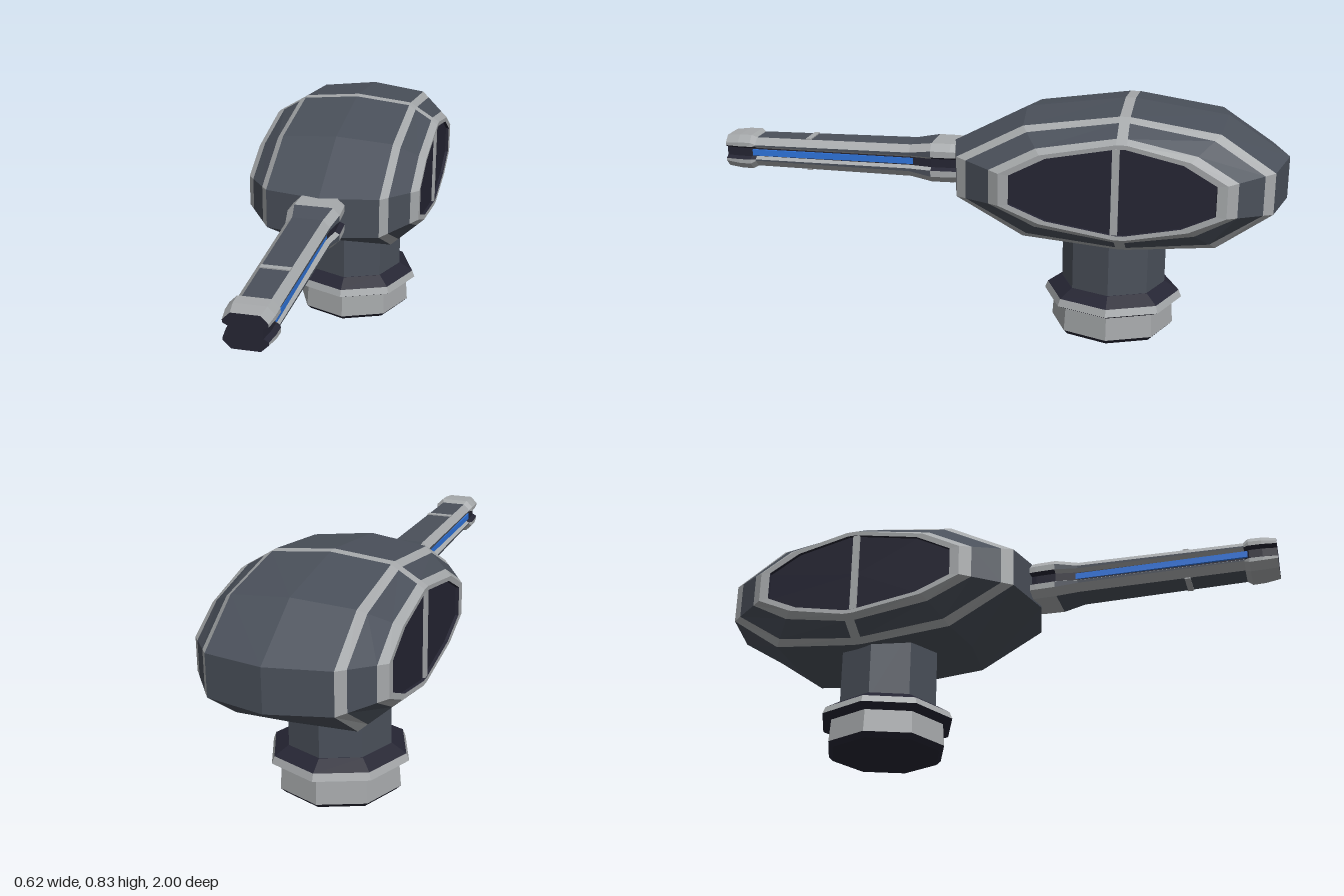
import * as THREE from 'three';

const mat = (name, color) => Object.assign(new THREE.MeshStandardMaterial({ color }), { name });

// Flat-shaded skin over closed rings; pick(i, j) gives the material index of each quad
function loft(name, rings, pick, mats, caps = [null, null]) {
  const buckets = mats.map(() => []);
  const tri = (m, ...pts) => pts.forEach(p => buckets[m].push(...p));
  const n = rings[0].length;
  for (let i = 0; i < rings.length - 1; i++) {
    for (let j = 0; j < n; j++) {
      const k = (j + 1) % n, m = pick(i, j);
      const [a, b, c, d] = [rings[i][j], rings[i][k], rings[i + 1][k], rings[i + 1][j]];
      tri(m, a, b, c);
      tri(m, a, c, d);
    }
  }
  [rings[0], rings[rings.length - 1]].forEach((ring, e) => {
    if (caps[e] === null) return;
    const mid = [0, 1, 2].map(q => ring.reduce((s, p) => s + p[q], 0) / n);
    ring.forEach((p, j) => {
      const r = ring[(j + 1) % n];
      e ? tri(caps[e], mid, p, r) : tri(caps[e], mid, r, p);
    });
  });
  const geo = new THREE.BufferGeometry();
  let start = 0;
  buckets.forEach((b, m) => {
    if (b.length) geo.addGroup(start, b.length / 3, m);
    start += b.length / 3;
  });
  geo.setAttribute('position', new THREE.Float32BufferAttribute(buckets.flat(), 3));
  geo.computeVertexNormals();
  const mesh = new THREE.Mesh(geo, mats);
  mesh.name = name;
  return mesh;
}

export function createModel() {
  const root = new THREE.Group();
  root.name = 'turret';
  const slate = mat('slate plating', 0x4a505a);
  const silver = mat('silver trim', 0xa6a9ab);
  const navy = mat('dark navy', 0x252533);
  const blue = mat('blue glow', 0x2f74dc);
  const mats = [slate, silver, navy];
  const SLATE = 0, SILVER = 1, NAVY = 2;

  const box = (parent, name, m, size, pos) => {
    const mesh = new THREE.Mesh(new THREE.BoxGeometry(...size), m);
    mesh.name = name;
    mesh.position.set(...pos);
    parent.add(mesh);
  };

  // Head: zFront, zBack, shoulder zs, then heights top to bottom
  const centre = [0.16, -1.0, -0.1, -0.79, 0.83, 0.785, 0.65, 0.505, 0.385, 0.36];
  const shoulder = [0.11, -0.95, -0.12, -0.77, 0.81, 0.765, 0.645, 0.505, 0.378, 0.35];
  const side = [-0.055, -0.8, -0.19, -0.68, 0.742, 0.695, 0.625, 0.515, 0.46, 0.42];
  const mix = (a, b, t) => a.map((v, i) => v + (b[i] - v) * t);
  const ridge = [-0.44, -0.475];
  const headRing = (x, [zf, zb, sf, sb, top, st, f, fl, sl, bot], s = 1) => [
    [top, ridge[0]], [st, sf], [f, zf], [fl, zf], [sl, sf], [bot, ridge[0]],
    [bot, ridge[1]], [sl, sb], [fl, zb], [f, zb], [st, sb], [top, ridge[1]],
  ].map(([y, z]) => [x, 0.58 + (y - 0.58) * s, -0.43 + (z + 0.43) * s]);
  const half = [
    [0.2, shoulder], [0.225, mix(shoulder, side, 0.227)],
    [0.285, mix(shoulder, side, 0.773)], [0.31, side],
    [0.309, side, 0.91], [0.298, side, 0.905],
  ];
  const headRings = [
    ...half.map(([x, p, s]) => headRing(-x, p, s)).reverse(),
    headRing(0, centre),
    ...half.map(([x, p, s]) => headRing(x, p, s)),
  ];
  // Bands counted outward from the centre: plate, trim, plate, frame, frame, recess
  const bands = [SLATE, SILVER, SLATE, SILVER, SILVER, NAVY];
  root.add(loft('head', headRings, (i, j) => {
    const band = i < 6 ? 5 - i : i - 6;
    const onRidge = j === 11 || (j === 5 && band > 0);
    return onRidge && band < 5 ? SILVER : bands[band];
  }, mats, [NAVY, NAVY]));

  // Window dividers
  for (const s of [-1, 1]) {
    box(root, 'windowDivider', silver, [0.009, 0.29, 0.024], [s * 0.303, 0.581, -0.44]);
  }

  // Pedestal: eight-sided stacked rings
  const pedestal = new THREE.Group();
  pedestal.name = 'pedestal';
  pedestal.position.z = -0.415;
  root.add(pedestal);
  const turned = (name, m, y0, y1, r0, r1) => {
    const geo = new THREE.CylinderGeometry(r1, r0, y1 - y0, 8).toNonIndexed();
    geo.computeVertexNormals();
    const mesh = new THREE.Mesh(geo, m);
    mesh.name = name;
    mesh.position.y = (y0 + y1) / 2;
    pedestal.add(mesh);
  };
  turned('neck', slate, 0.15, 0.42, 0.183, 0.183);
  turned('collarTop', navy, 0.14, 0.17, 0.235, 0.185);
  turned('collarBand', silver, 0.115, 0.14, 0.245, 0.235);
  turned('collarUnderside', navy, 0.098, 0.115, 0.21, 0.245);
  turned('base', silver, 0.017, 0.098, 0.217, 0.211);
  turned('baseBevel', navy, 0, 0.017, 0.2, 0.217);

  // Barrel: chamfered section with a groove down each side
  const barrel = new THREE.Group();
  barrel.name = 'barrel';
  barrel.position.y = 0.581;
  root.add(barrel);
  const barrelRing = (z, w, h) => {
    const quarter = [[w, 0.024], [w, h - 0.024], [w - 0.024, h]];
    const right = [[w - 0.016, 0.015], ...quarter];
    const top = [...right, ...right.map(([x, y]) => [-x, y]).reverse()];
    return [...top, ...top.map(([x, y]) => [-x, -y])].map(([x, y]) => [x, y, z]);
  };
  // Edge order in each half: groove lip, side, chamfer, flat, chamfer, side, lip, groove floor
  const plated = [SILVER, SLATE, SILVER, SLATE, SILVER, SLATE, SILVER, NAVY];
  const trimmed = [NAVY, SILVER, SILVER, SILVER, SILVER, SILVER, NAVY, NAVY];
  const part = (name, sections, scheme, caps) =>
    barrel.add(loft(name, sections.map(s => barrelRing(...s)), (i, j) => scheme[j % 8], mats, caps));
  part('barrelCollar', [[0.08, 0.08, 0.066], [0.16, 0.088, 0.07], [0.23, 0.09, 0.07]], trimmed);
  part('barrelSleeve', [[0.23, 0.09, 0.07], [0.31, 0.076, 0.058]], plated);
  part('barrelBody', [[0.31, 0.076, 0.058], [0.89, 0.068, 0.053]], plated);
  part('muzzle', [[0.885, 0.066, 0.052], [0.905, 0.076, 0.063], [0.95, 0.075, 0.062], [1, 0.068, 0.057]],
    trimmed, [NAVY, NAVY]);

  // Thin band across the barrel and glowing groove strips
  for (const s of [-1, 1]) {
    box(barrel, 'barrelBand', silver, [0.096, 0.006, 0.02], [0, s * 0.0555, 0.69]);
    box(barrel, 'glowStrip', blue, [0.008, 0.022, 0.6], [s * 0.059, 0, 0.6]);
  }
  return root;
}
